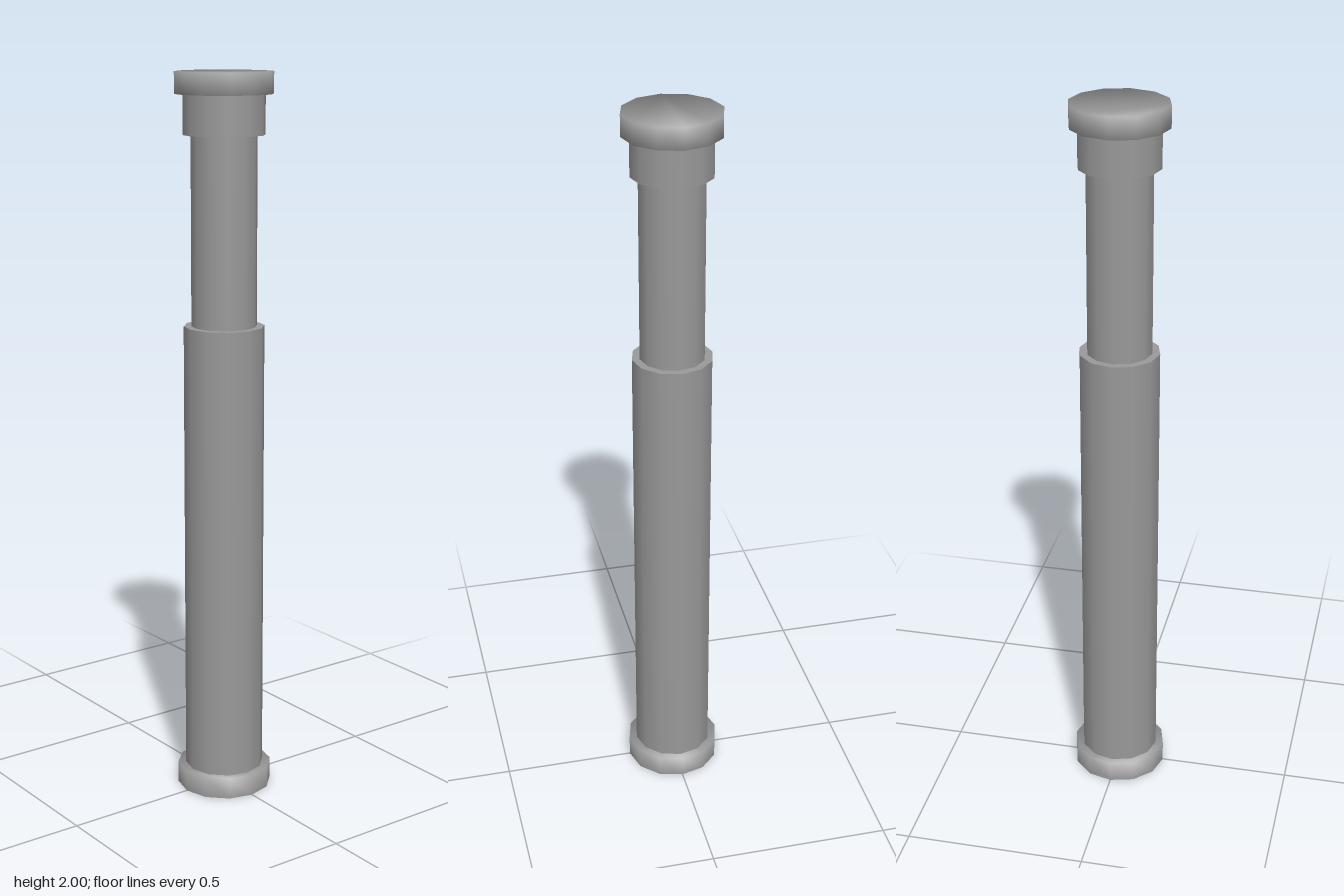
import * as THREE from 'three';

const SIDES = 12;

// Radii of the stepped tube
const RIM = 0.132, BODY = 0.11, SHAFT = 0.089;

export function createModel() {
  const model = new THREE.Group();
  const material = new THREE.MeshStandardMaterial({ color: 0x999999, side: THREE.DoubleSide });

  // Turns a profile of [radius, height] points; normals are smooth within one part
  const turn = (name, profile) => {
    const points = profile.map(([r, y]) => new THREE.Vector2(r, y));
    const geometry = new THREE.LatheGeometry(points, SIDES);
    const mesh = new THREE.Mesh(geometry, material);
    mesh.name = name;
    model.add(mesh);
    return geometry;
  };

  // Turns a profile and closes its top with one flat face, softly shaded over the rim
  const turnLidded = (name, profile) => {
    const geometry = turn(name, profile);
    const rows = profile.length;
    const top = (i) => i * rows + rows - 1;
    const index = Array.from(geometry.index.array);
    for (let i = 1; i < SIDES - 1; i++) index.push(top(0), top(i), top(i + 1));
    geometry.setIndex(index);
    for (let i = 0; i <= SIDES; i++) {
      const angle = (i / SIDES) * Math.PI * 2;
      const n = new THREE.Vector3(Math.sin(angle), 1, Math.cos(angle)).normalize();
      geometry.attributes.normal.setXYZ(top(i), n.x, n.y, n.z);
    }
  };

  // Foot cup, open below
  turnLidded('footCup', [[RIM, 0], [RIM, 0.06]]);

  // Wide lower tube and the step at its top
  turn('lowerTube', [[BODY, 0.06], [BODY, 1.327]]);
  turn('lowerTubeLip', [[BODY, 1.327], [SHAFT, 1.327]]);

  // Narrow upper tube
  turn('upperTube', [[SHAFT, 1.327], [SHAFT, 1.836]]);

  // Collar under the cap
  turn('collarUnderside', [[SHAFT, 1.836], [BODY, 1.836]]);
  turn('collar', [[BODY, 1.836], [BODY, 1.942]]);

  // Closed end cap
  turnLidded('endCap', [[BODY, 1.942], [RIM, 1.942], [RIM, 2]]);

  return model;
}
